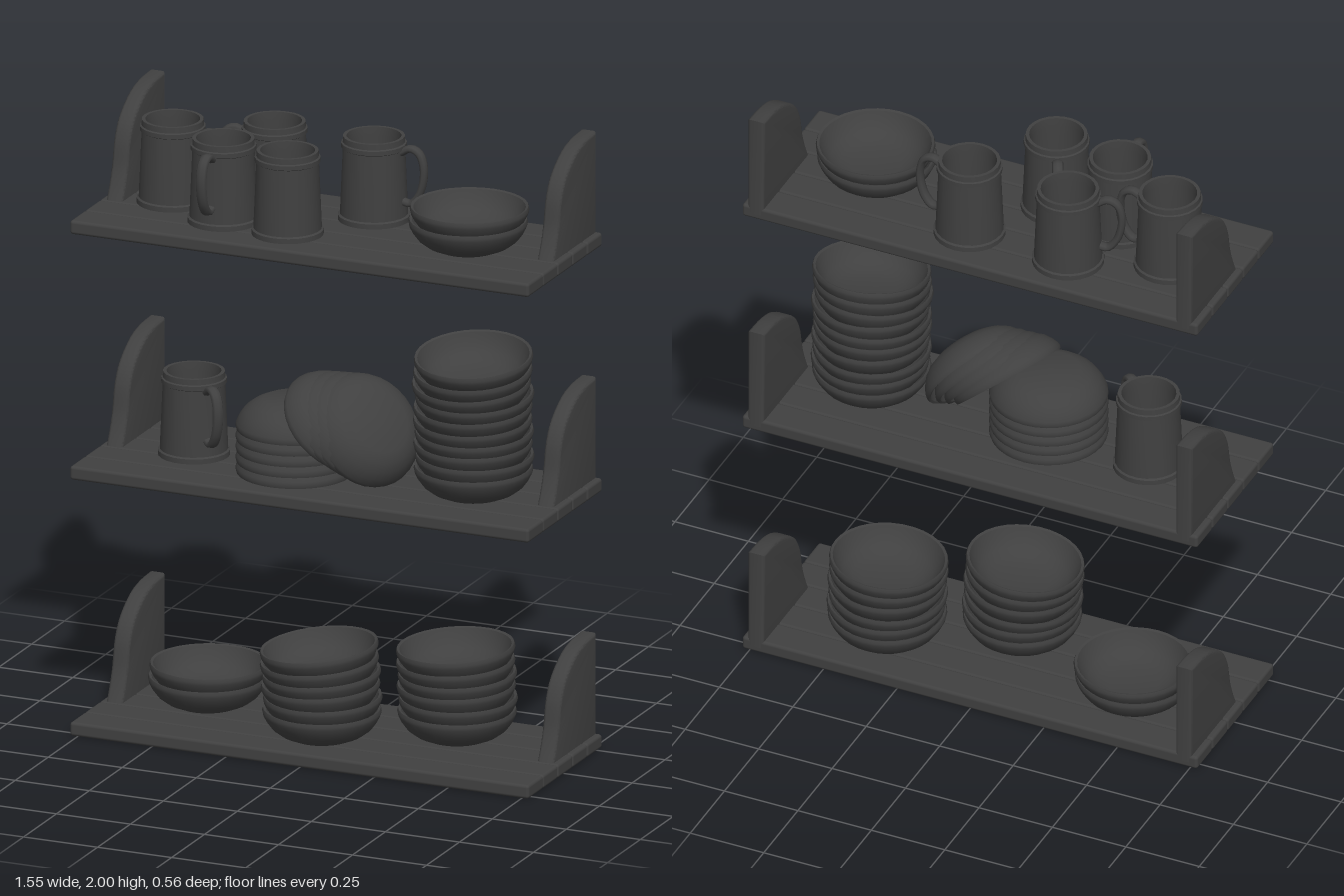
import * as THREE from 'three';
import { toCreasedNormals } from 'three/addons/utils/BufferGeometryUtils.js';
import { RoundedBoxGeometry } from 'three/addons/geometries/RoundedBoxGeometry.js';

const material = new THREE.MeshStandardMaterial({ color: 0x404040 });
const BOARD_TOP = 0.045;
const PITCH = 0.04;
const BOWL_HEIGHT = 0.095;

function addMesh(parent, name, geometry) {
  const mesh = new THREE.Mesh(geometry, material);
  mesh.name = name;
  parent.add(mesh);
  return mesh;
}

function addGroup(parent, name, x = 0, y = 0, z = 0) {
  const group = new THREE.Group();
  group.name = name;
  group.position.set(x, y, z);
  parent.add(group);
  return group;
}

function lathe(profile, segments) {
  const points = profile.map(([r, y]) => new THREE.Vector2(r, y));
  return toCreasedNormals(new THREE.LatheGeometry(points, segments), 0.7);
}

// Curved end bracket, drawn in depth and height then given its thickness along x
function bracketGeometry() {
  const bevel = 0.01;
  const shape = new THREE.Shape();
  shape.moveTo(-0.272, 0.03);
  shape.lineTo(0.046, 0.03);
  shape.splineThru([[0.02, 0.085], [0, 0.14], [-0.02, 0.225], [-0.057, 0.285],
    [-0.13, 0.335], [-0.2, 0.355], [-0.272, 0.36]].map(([z, y]) => new THREE.Vector2(z, y)));
  shape.closePath();
  const geometry = new THREE.ExtrudeGeometry(shape, {
    depth: 0.055 - 2 * bevel, bevelThickness: bevel, bevelSize: bevel, bevelSegments: 3, curveSegments: 24,
  });
  geometry.translate(0, 0, -(0.055 - 2 * bevel) / 2);
  geometry.rotateY(-Math.PI / 2);
  return toCreasedNormals(geometry, 0.6);
}

const bracket = bracketGeometry();
const plank = new RoundedBoxGeometry(1.55, BOARD_TOP, 0.1135, 3, 0.01);

// Thin open bowl with a rounded lip, standing on a flat foot
const bowl = lathe([[0, 0], [0.1, 0], [0.132, 0.014], [0.157, 0.033], [0.173, 0.055], [0.183, 0.075],
  [0.185, 0.085], [0.182, BOWL_HEIGHT], [0.174, 0.092], [0.16, 0.062], [0.138, 0.038],
  [0.11, 0.022], [0.08, 0.014], [0, 0.013]], 32);

// Tapered mug with a foot hoop, a hoop below the rim and a hollow inside
const mug = lathe([[0, 0], [0.112, 0], [0.112, 0.016], [0.106, 0.02], [0.097, 0.232], [0.102, 0.235],
  [0.102, 0.249], [0.097, 0.252], [0.096, 0.27], [0.085, 0.27], [0.082, 0.24], [0.085, 0.03],
  [0.068, 0.018], [0, 0.018]], 24);

const handlePath = new THREE.CatmullRomCurve3([[0.09, 0.225], [0.125, 0.243], [0.153, 0.23], [0.167, 0.195],
  [0.167, 0.145], [0.152, 0.095], [0.125, 0.065], [0.095, 0.07]].map(([x, y]) => new THREE.Vector3(x, y, 0)));
const handle = new THREE.TubeGeometry(handlePath, 24, 0.012, 8).scale(1, 1, 1.5);

function addShelf(model, name, y) {
  const shelf = addGroup(model, name, 0, y, 0);
  for (let i = 0; i < 5; i++) {
    addMesh(shelf, 'plank', plank).position.set(0, BOARD_TOP / 2, (i - 2) * 0.1125);
  }
  for (const side of [-1, 1]) {
    addMesh(shelf, side > 0 ? 'leftBracket' : 'rightBracket', bracket).position.x = side * 0.728;
  }
  return shelf;
}

// Upright stack whose bowls lean a little more towards the top
function addStack(shelf, x, z, count, tiltX = 0, tiltZ = 0) {
  const stack = addGroup(shelf, 'bowlStack', x, BOARD_TOP, z);
  for (let i = 0; i < count; i++) {
    const item = addMesh(stack, 'bowl', bowl);
    const lean = i / (count - 1);
    item.position.set(0.004 * Math.sin(i * 2.4), i * PITCH, 0.004 * Math.cos(i * 1.7));
    item.rotation.set(tiltX * lean, 0, tiltZ * lean);
  }
}

// Overturned bowl placed by the centre of its rim; lean tips its foot towards +x, yaw swings that round
function addOverturned(parent, x, y, lean, yaw) {
  const pivot = addGroup(parent, 'overturnedBowl', x, y, 0);
  pivot.rotation.set(0, yaw, -lean, 'YZX');
  const item = addMesh(pivot, 'bowl', bowl);
  item.rotation.x = Math.PI;
  item.position.y = BOWL_HEIGHT;
}

function addMug(shelf, x, z, angle) {
  const group = addGroup(shelf, 'mug', x, BOARD_TOP, z);
  group.rotation.y = angle;
  addMesh(group, 'mugBody', mug);
  addMesh(group, 'mugHandle', handle);
}

export function createModel() {
  const model = new THREE.Group();
  model.name = 'crockeryShelves';

  // Bottom shelf: three bowl stacks
  const bottom = addShelf(model, 'bottomShelf', 0);
  addStack(bottom, -0.46, -0.065, 2);
  addStack(bottom, -0.008, 0.085, 6, 0.04, 0.1);
  addStack(bottom, 0.375, -0.08, 6, 0.03, 0.05);

  // Middle shelf: a mug, overturned bowls with more leaning on them, a tall stack
  const middle = addShelf(model, 'middleShelf', 0.832);
  addMug(middle, -0.475, 0.01, -0.7);
  const pile = addGroup(middle, 'overturnedPile', 0, 0, 0.04);
  for (let i = 0; i < 5; i++) addOverturned(pile, -0.12, BOARD_TOP + i * 0.035, 0, 0);
  for (let i = 0; i < 4; i++) {
    addOverturned(pile, 0.015 + i * 0.033, 0.214 - i * 0.003, 0.75 + i * 0.085, -0.35 - i * 0.05);
  }
  addStack(middle, 0.475, 0.02, 10, 0.13, 0);

  // Top shelf: five mugs and a pair of bowls
  const top = addShelf(model, 'topShelf', 1.63);
  addMug(top, -0.56, -0.02, 0);
  addMug(top, -0.265, -0.13, Math.PI + 0.25);
  addMug(top, -0.34, 0.09, -Math.PI / 2);
  addMug(top, -0.11, 0.12, 2.03);
  addMug(top, 0.075, -0.12, 0);
  addStack(top, 0.457, 0.02, 2);

  return model;
}
